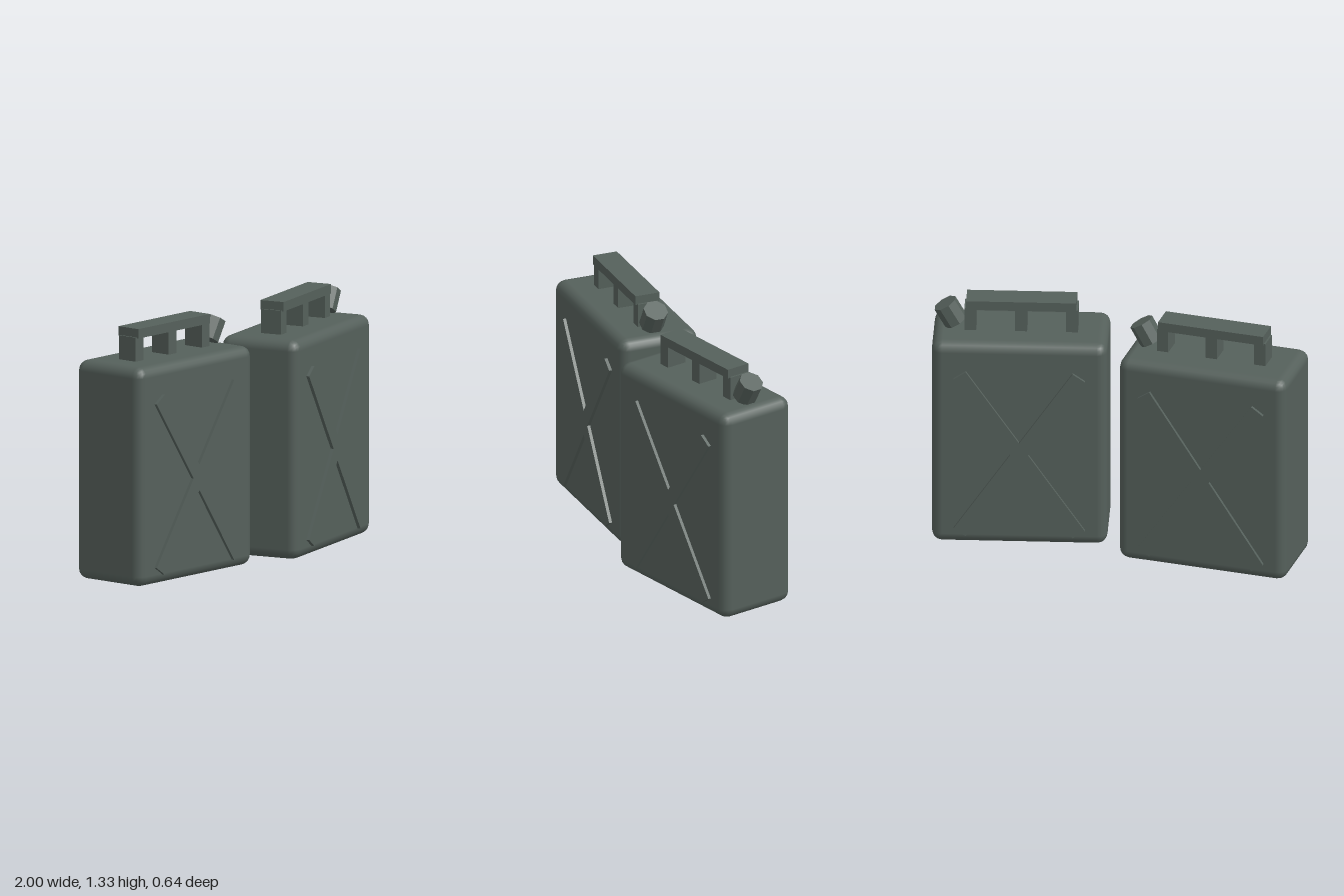
import * as THREE from 'three';
import { RoundedBoxGeometry } from 'three/addons/geometries/RoundedBoxGeometry.js';

const WIDTH = 0.915, HEIGHT = 1.158, DEPTH = 0.446;

const olive = new THREE.MeshStandardMaterial({ color: 0x55605b });
olive.name = 'dark grey green';

function part(parent, name, geometry, x, y, z) {
  const mesh = new THREE.Mesh(geometry, olive);
  mesh.name = name;
  mesh.position.set(x, y, z);
  parent.add(mesh);
  return mesh;
}

// Outline of an X made from two crossing strips
function crossShape(length, width, angle) {
  const c = Math.cos(angle), s = Math.sin(angle), l = length / 2, w = width / 2;
  const end1 = new THREE.Vector2(l * c + w * s, l * s - w * c); // outer corner of an arm
  const end2 = new THREE.Vector2(l * c - w * s, l * s + w * c); // inner corner of an arm
  const sideNotch = w / s, topNotch = w / c;
  return new THREE.Shape([
    new THREE.Vector2(sideNotch, 0), end1, end2,
    new THREE.Vector2(0, topNotch),
    new THREE.Vector2(-end2.x, end2.y), new THREE.Vector2(-end1.x, end1.y),
    new THREE.Vector2(-sideNotch, 0),
    new THREE.Vector2(-end1.x, -end1.y), new THREE.Vector2(-end2.x, -end2.y),
    new THREE.Vector2(0, -topNotch),
    new THREE.Vector2(end2.x, -end2.y), new THREE.Vector2(end1.x, -end1.y),
  ]);
}

function createCan(name) {
  const can = new THREE.Group();
  can.name = name;

  // Body with rounded edges
  part(can, 'body', new RoundedBoxGeometry(WIDTH, HEIGHT, DEPTH, 2, 0.055), 0, HEIGHT / 2, 0);

  // Raised X rib on the front and back
  const rib = new THREE.ExtrudeGeometry(crossShape(1.1, 0.077, 0.972), { depth: 0.04, bevelEnabled: false });
  rib.translate(0, 0, -0.02);
  for (const side of [1, -1]) {
    part(can, side > 0 ? 'frontRib' : 'backRib', rib, 0, 0.527, side * 0.22);
  }

  // Carrying handle on three posts
  part(can, 'handleBar', new THREE.BoxGeometry(0.573, 0.05, 0.135), -0.002, 1.305, 0);
  for (const x of [-0.267, -0.002, 0.263]) {
    part(can, 'handlePost', new THREE.BoxGeometry(0.062, 0.15, 0.115), x, 1.21, 0);
  }

  // Tilted faceted cap
  const capGeometry = new THREE.CylinderGeometry(0.065, 0.065, 0.118, 8, 1, false, Math.PI / 8).toNonIndexed();
  capGeometry.computeVertexNormals();
  const cap = part(can, 'cap', capGeometry, 0.368, 1.233, 0);
  cap.rotation.z = -Math.PI / 6;

  return can;
}

export function createModel() {
  const model = new THREE.Group();
  model.name = 'fuelCans';

  const rightCan = createCan('rightCan');
  rightCan.position.set(-0.5425, 0, -0.003);

  const leftCan = createCan('leftCan');
  leftCan.position.set(0.51, 0, -0.003);
  leftCan.rotation.y = THREE.MathUtils.degToRad(15);

  model.add(rightCan, leftCan);
  return model;
}
